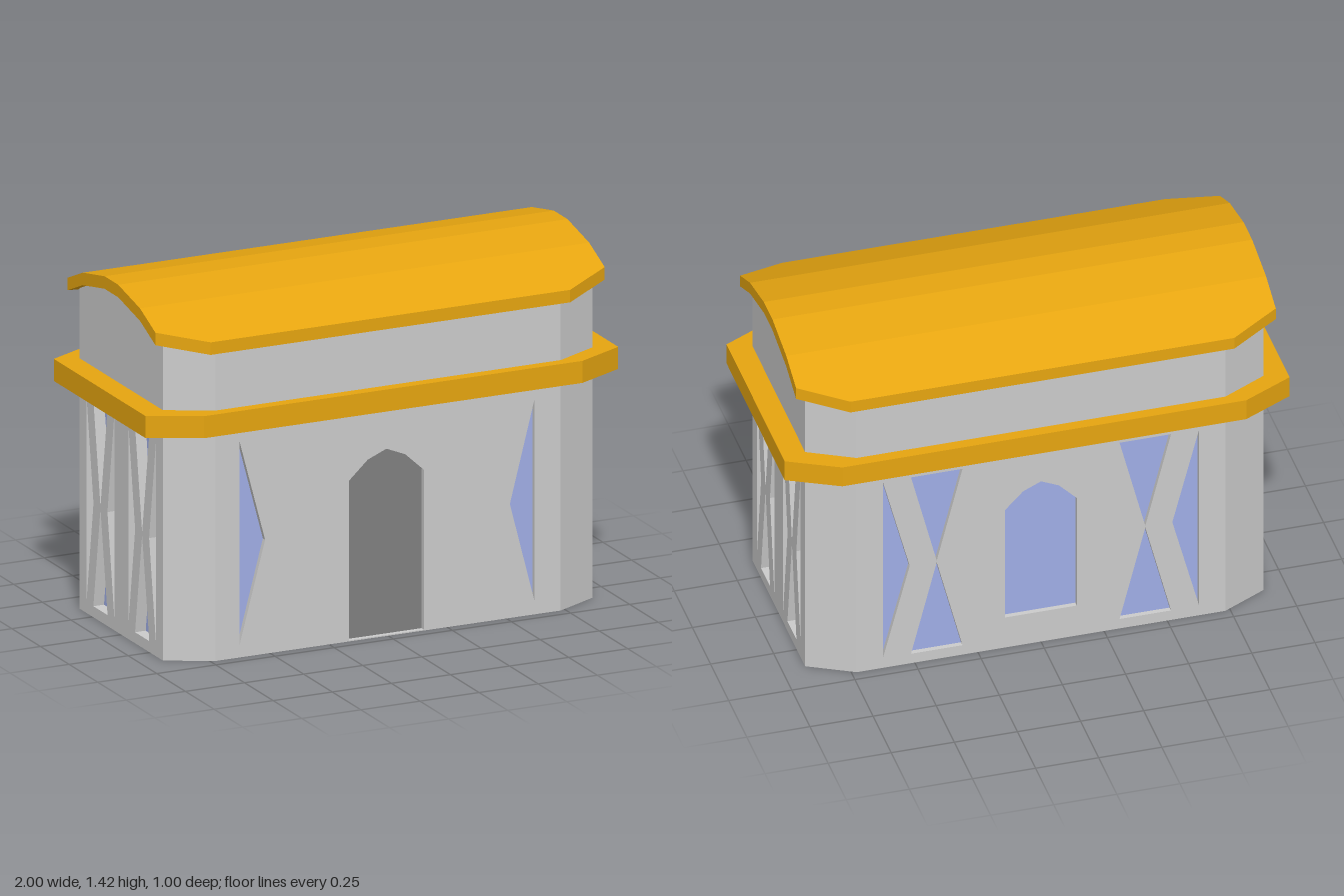
import * as THREE from 'three';

const material = (color) => new THREE.MeshStandardMaterial({ color, flatShading: true, side: THREE.DoubleSide });
const grey = material(0xcccccc), orange = material(0xe6a510), blue = material(0xa0aee6), dark = material(0x808080);

const shapeOf = (pts) => new THREE.Shape(pts.map(([x, y]) => new THREE.Vector2(x, y)));

function mesh(name, geometry, mat, parent) {
  const m = new THREE.Mesh(geometry, mat);
  m.name = name;
  parent.add(m);
  return m;
}

function surface(triangles) {
  const g = new THREE.BufferGeometry();
  g.setAttribute('position', new THREE.Float32BufferAttribute(triangles.flat(), 3));
  g.computeVertexNormals();
  return g;
}
const quad = (a, b, c, d) => [a, b, c, a, c, d];

// Underside height of the arched roof at depth z
const ARCH = [[0.06, 1.37], [0.25, 1.33], [0.475, 1.232]];
function archHeight(z) {
  z = Math.abs(z);
  if (z <= ARCH[0][0]) return ARCH[0][1];
  const [p, q] = z < ARCH[1][0] ? [ARCH[0], ARCH[1]] : [ARCH[1], ARCH[2]];
  return p[1] + (q[1] - p[1]) * (z - p[0]) / (q[0] - p[0]);
}

// Wall with recessed openings; local +z is the outside
function wall(name, outline, openings, position, angle) {
  const group = new THREE.Group();
  group.name = name;
  const shape = shapeOf(outline);
  for (const { pts, depth, mat, label } of openings) {
    shape.holes.push(shapeOf(pts));
    const pane = mesh(label, new THREE.ShapeGeometry(shapeOf(pts)), mat, group);
    pane.position.z = -depth;
    const sides = pts.flatMap(([x, y], i) => {
      const [u, v] = pts[(i + 1) % pts.length];
      return quad([x, y, 0], [u, v, 0], [u, v, -depth], [x, y, -depth]);
    });
    mesh(label + 'Reveal', surface(sides), grey, group);
  }
  mesh(name + 'Face', new THREE.ShapeGeometry(shape), grey, group);
  group.position.set(...position);
  group.rotation.y = angle;
  return group;
}

const pane = (pts, depth) => ({ pts, depth, mat: blue, label: 'windowPane' });

// Tall sliver with an upright edge at x and a point at tip
function sliver(x, tip, depth) {
  const pts = [[x, 0.05], [tip, 0.455], [x, 0.862]];
  return pane(tip > x ? pts : pts.reverse(), depth);
}

// Two triangles meeting point to point
const hourglass = (x, half, depth) => [
  pane([[x - half, 0.867], [x, 0.459], [x + half, 0.867]], depth),
  pane([[x - half, 0.044], [x + half, 0.044], [x, 0.451]], depth),
];

// Opening with a faceted arch
const arched = (x, half, bottom) => [
  [x - half, bottom], [x + half, bottom], [x + half, 0.642], [x + half * 0.5, 0.715],
  [x, 0.748], [x - half * 0.5, 0.715], [x - half, 0.642],
];

// Octagonal slab with cut corners
function slab(w, d, cw, cd, y, height) {
  const g = new THREE.ExtrudeGeometry(
    shapeOf([[-cw, -d], [cw, -d], [w, -cd], [w, cd], [cw, d], [-cw, d], [-w, cd], [-w, -cd]]),
    { depth: height, bevelEnabled: false });
  g.rotateX(-Math.PI / 2);
  g.translate(0, y, 0);
  return g;
}

// Arched roof shell: rows across x, stepping through z
function roofGeometry() {
  const thickness = 0.05;
  const rows = [-0.475, -0.385, -0.25, -0.06, 0.06, 0.25, 0.385, 0.475].map((z) => {
    const w = Math.abs(z) > 0.4 ? 0.76 : 0.95, y = archHeight(z);
    return [[-w, y, z], [w, y, z], [w, y + thickness, z], [-w, y + thickness, z]];
  });
  const tris = [];
  for (let i = 0; i < rows.length - 1; i++) {
    const a = rows[i], b = rows[i + 1];
    for (let k = 0; k < 4; k++) {
      const n = (k + 1) % 4;
      tris.push(...quad(a[k], a[n], b[n], b[k]));
    }
  }
  const first = rows[0], last = rows[rows.length - 1];
  tris.push(...quad(first[3], first[2], first[1], first[0]), ...quad(...last));
  return surface(tris);
}

export function createModel() {
  const model = new THREE.Group();
  model.name = 'building';
  const W = 0.908, D = 0.455, CW = 0.73, CD = 0.363;
  const longTop = archHeight(D), cornerTop = archHeight(CD);
  const longOutline = [[-CW, 0], [CW, 0], [CW, longTop], [-CW, longTop]];

  // Front wall with the doorway and two slivers
  model.add(wall('frontWall', longOutline, [
    { pts: arched(-0.007, 0.158, 0.004), depth: 0.02, mat: dark, label: 'door' },
    sliver(-0.628, -0.52, 0.02), sliver(0.62, 0.515, 0.02),
  ], [0, 0, D], 0));

  // Back wall with the arched window and braced windows
  model.add(wall('backWall', longOutline, [
    pane(arched(0, 0.142, 0.14), 0.02),
    ...[-1, 1].flatMap((s) => [
      ...hourglass(s * 0.413, 0.102, 0.02), sliver(s * 0.625, s * 0.52, 0.02)]),
  ], [0, 0, -D], Math.PI));

  // End walls rising to the arch, each with two braced windows
  const endOutline = [[-CD, 0], [CD, 0],
    ...[CD, 0.25, 0.06, -0.06, -0.25, -CD].map((z) => [z, archHeight(z)])];
  for (const s of [-1, 1]) {
    const openings = [-0.182, 0.182].flatMap((c) => [
      ...hourglass(c, 0.062, 0.045),
      sliver(c - 0.121, c - 0.061, 0.045), sliver(c + 0.121, c + 0.061, 0.045)]);
    model.add(wall(s > 0 ? 'leftEndWall' : 'rightEndWall', endOutline, openings,
      [s * W, 0, 0], s * Math.PI / 2));
  }

  // Cut corner walls
  for (const sx of [-1, 1]) for (const sz of [-1, 1]) {
    const a = [sx * CW, 0, sz * D], b = [sx * W, 0, sz * CD];
    const c = [b[0], cornerTop, b[2]], d = [a[0], longTop, a[2]];
    const corners = sx * sz > 0 ? [a, b, c, d] : [b, a, d, c];
    mesh('cornerWall', surface(quad(...corners)), grey, model);
  }

  // Cornice band and roof
  mesh('cornice', slab(1, 0.5, 0.8, 0.4, 0.912, 0.088), orange, model);
  mesh('roof', roofGeometry(), orange, model);
  return model;
}
